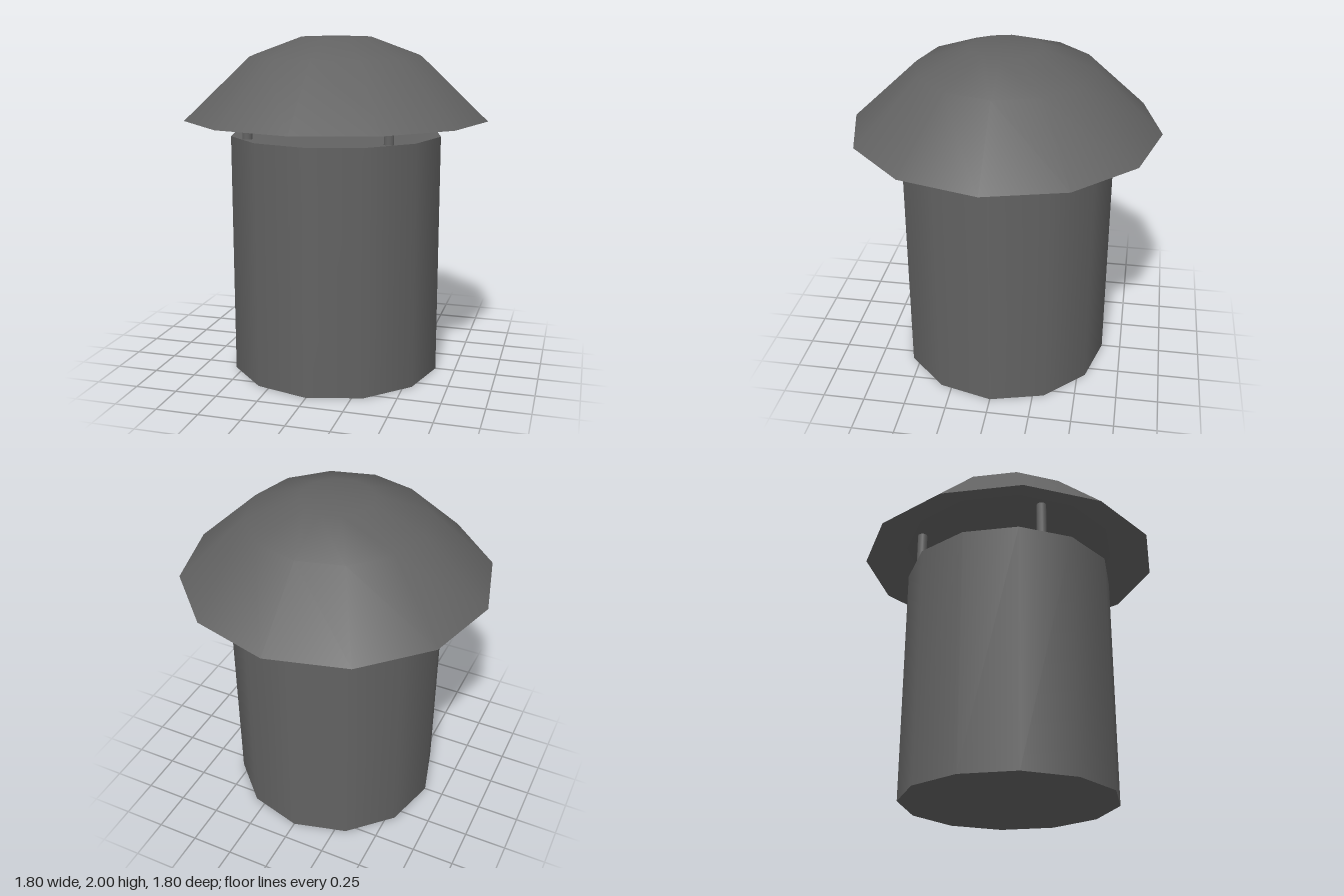
import * as THREE from 'three';

const SIDES = 12;
const CEILING = 1.635;

export function createModel() {
  const model = new THREE.Group();
  const material = new THREE.MeshStandardMaterial({ color: 0x626262 });

  const add = (name, geometry, x = 0, y = 0, z = 0) => {
    const mesh = new THREE.Mesh(geometry, material);
    mesh.name = name;
    mesh.position.set(x, y, z);
    model.add(mesh);
  };
  const lathe = (profile) =>
    new THREE.LatheGeometry(profile.map(([r, y]) => new THREE.Vector2(r, y)), SIDES);

  // Twelve-sided pipe body with closed ends
  add('body', new THREE.CylinderGeometry(0.633, 0.633, 1.433, SIDES), 0, 0.7165, 0);

  // Four thin posts near the diagonals, reaching up to the ceiling of the cap
  for (const x of [-0.413, 0.413]) {
    for (const z of [-0.4, 0.4]) {
      add('post', new THREE.CylinderGeometry(0.029, 0.029, 0.235, SIDES), x, CEILING - 0.1175, z);
    }
  }

  // Domed cap: outer shell, then the sloped and flat parts of its recessed underside
  add('capDome', lathe([[0.902, 1.53], [0.517, 1.89], [0.213, 2], [0, 2]]));
  add('capUndersideSlope', lathe([[0.65, CEILING], [0.902, 1.53]]));
  add('capCeiling', lathe([[0, CEILING], [0.65, CEILING]]));

  return model;
}
